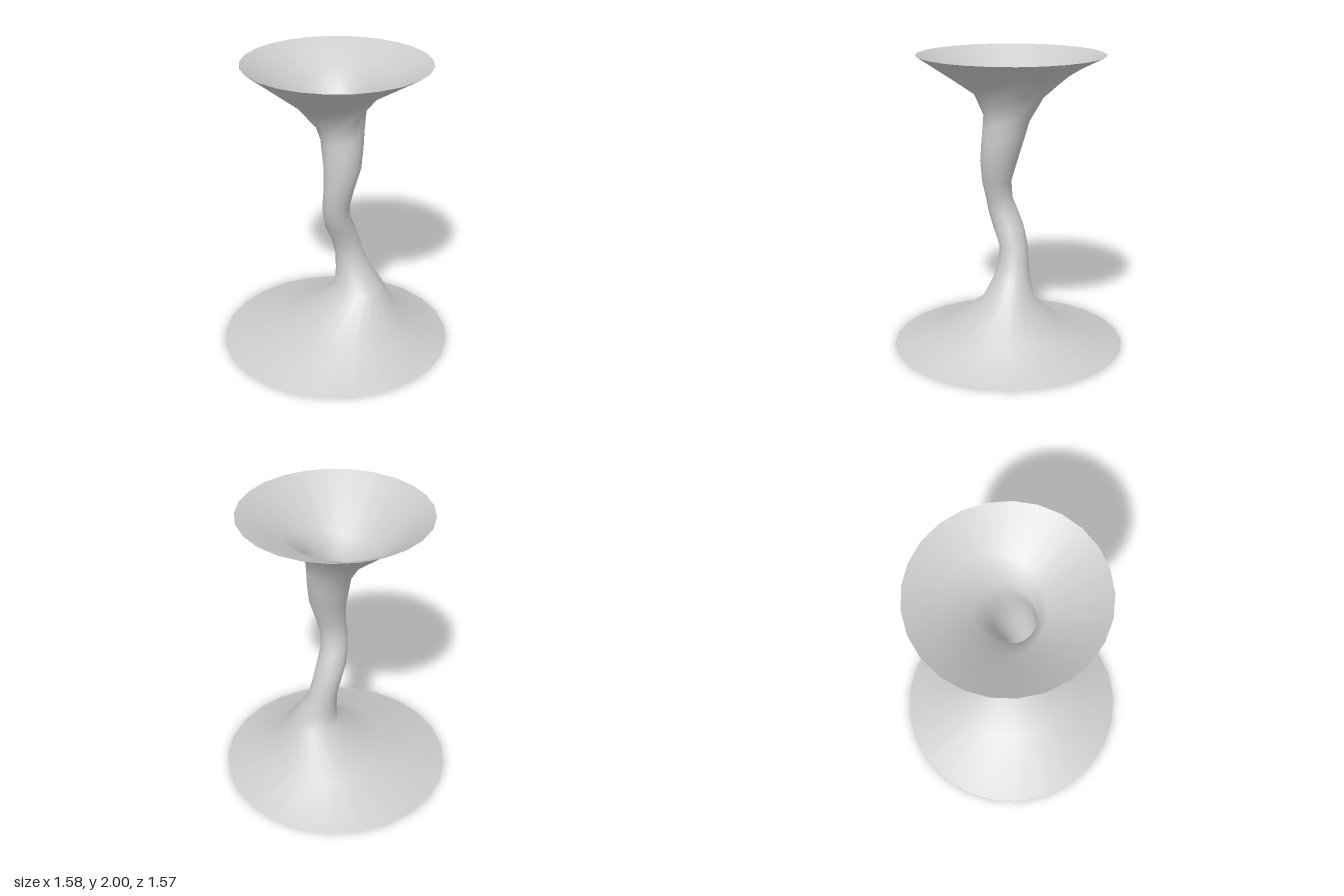
import * as THREE from 'three';

const SIDES = 25;

// Cross-sections from floor to rim:
// centre x, y, z, radius x, radius z, rise per unit x, rise per unit z
const RINGS = [
  [0, 0.005, 0, 0.79, 0.79, 0.005, 0],
  [0.07, 0.135, 0.01, 0.4, 0.44, 0, 0],
  [0.16, 0.385, -0.025, 0.172, 0.175, 0.08, 0],
  [0.123, 0.51, -0.04, 0.125, 0.125, 0.05, 0],
  [0.095, 0.62, -0.05, 0.1, 0.1, 0, 0],
  [0.067, 0.73, -0.045, 0.097, 0.095, 0, 0],
  [0.03, 0.85, -0.005, 0.1, 0.104, 0, 0],
  [0.01, 0.95, 0.032, 0.092, 0.1, 0, 0],
  [0.008, 1.04, 0.06, 0.092, 0.09, 0, 0],
  [0.028, 1.16, 0.074, 0.1, 0.098, 0, 0],
  [0.05, 1.31, 0.055, 0.124, 0.125, 0.05, -0.05],
  [0.048, 1.44, 0.03, 0.138, 0.142, 0.1, -0.1],
  [0.045, 1.54, 0.01, 0.145, 0.155, 0.2, -0.2],
  [0.03, 1.67, -0.04, 0.172, 0.2, 0.35, -0.35],
  [0.03, 1.805, -0.09, 0.31, 0.31, 0.21, -0.22],
  [0.005, 2, -0.02, 0.62, 0.62, 0, 0],
];

// Joins neighbouring rings into one open, smooth-shaded skin
function loft(rings) {
  const positions = [], index = [];
  rings.forEach(([cx, cy, cz, rx, rz, sx, sz], r) => {
    for (let i = 0; i < SIDES; i++) {
      const a = (i / SIDES) * Math.PI * 2;
      const dx = Math.sin(a) * rx, dz = Math.cos(a) * rz;
      positions.push(cx + dx, cy + dx * sx + dz * sz, cz + dz);
      if (r === 0) continue;
      const j = (i + 1) % SIDES;
      const lo = (r - 1) * SIDES, hi = r * SIDES;
      index.push(lo + i, lo + j, hi + j, lo + i, hi + j, hi + i);
    }
  });
  const geometry = new THREE.BufferGeometry();
  geometry.setAttribute('position', new THREE.Float32BufferAttribute(positions, 3));
  geometry.setIndex(index);
  geometry.computeVertexNormals();
  return geometry;
}

export function createModel() {
  const group = new THREE.Group();
  group.name = 'twistedPedestal';
  const material = new THREE.MeshStandardMaterial({ color: 0xcccccc, side: THREE.DoubleSide });
  // Flared foot, winding stem and funnel top are one continuous skin
  const body = new THREE.Mesh(loft(RINGS), material);
  body.name = 'flaredStem';
  group.add(body);
  return group;
}
